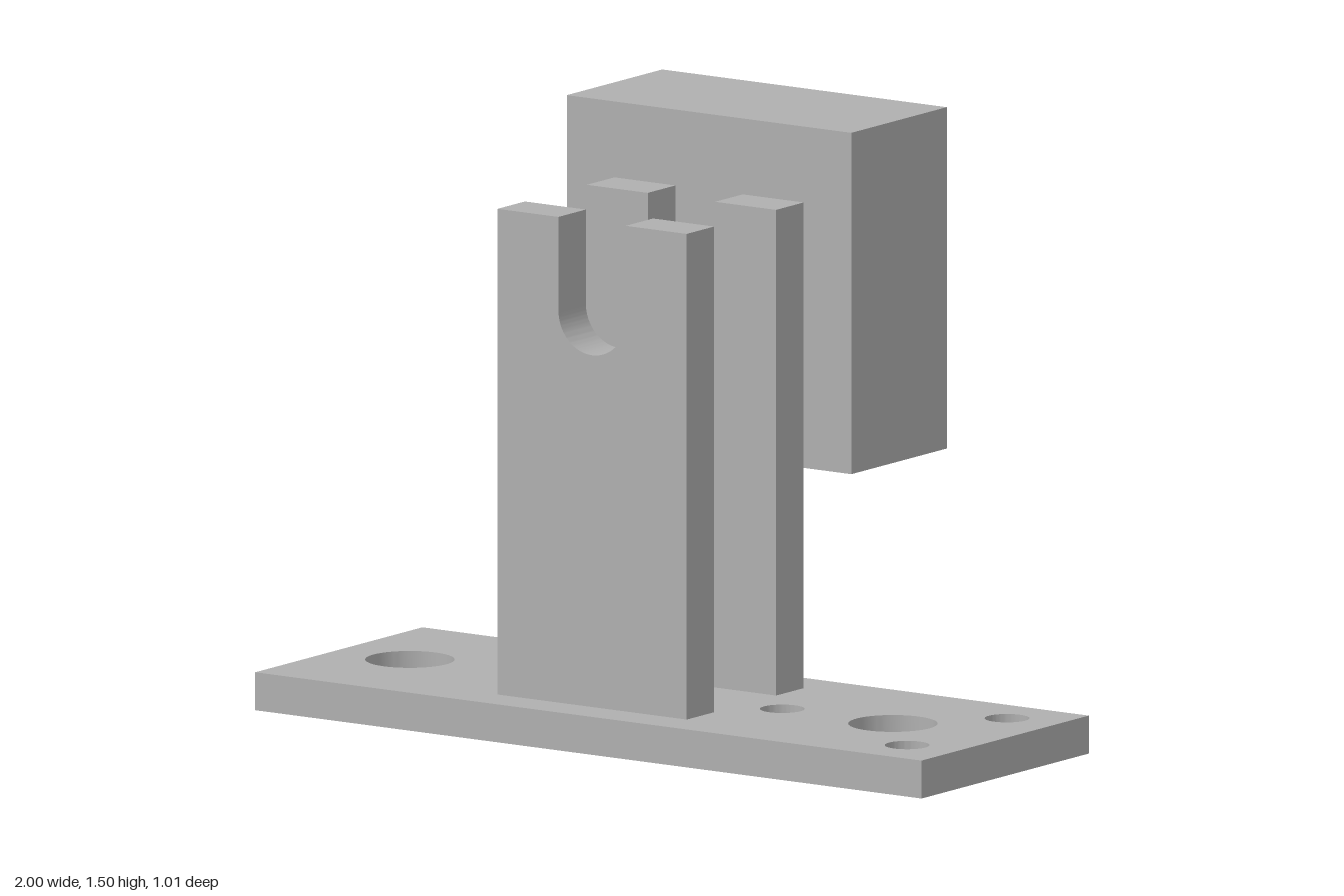
import * as THREE from 'three';
import { toCreasedNormals } from 'three/addons/utils/BufferGeometryUtils.js';

const grey = new THREE.MeshStandardMaterial({ color: 0xb0b0b0 });
grey.name = 'plain grey';

// Rectangle with round holes given as [x, y, radius]
function holedRect(x0, x1, y0, y1, holes = []) {
  const s = new THREE.Shape();
  s.moveTo(x0, y0).lineTo(x1, y0).lineTo(x1, y1).lineTo(x0, y1).closePath();
  for (const [x, y, r] of holes) s.holes.push(new THREE.Path().absarc(x, y, r, 0, Math.PI * 2, true));
  return s;
}

function extrude(shape, depth) {
  const g = new THREE.ExtrudeGeometry(shape, { depth, bevelEnabled: false, curveSegments: 32 });
  return toCreasedNormals(g, 0.6);
}

function add(group, name, geometry) {
  const mesh = new THREE.Mesh(geometry, grey);
  mesh.name = name;
  group.add(mesh);
}

// Upright slab: outline in x,y running from z0 to z1
const slab = (shape, z0, z1) => extrude(shape, z1 - z0).translate(0, 0, z0);
// Level plate: outline in x,-z running from y0 to y1
const level = (shape, y0, y1) => extrude(shape, y1 - y0).rotateX(-Math.PI / 2).translate(0, y0, 0);

export function createModel() {
  const model = new THREE.Group();
  model.name = 'motorBracket';
  const cx = -0.0625; // shared centre line of uprights and housing

  // Base plate with two large and three small through holes
  add(model, 'basePlate', level(holedRect(-1, 1, -0.505, 0.21, [
    [-0.785, -0.15, 0.11], [0.665, -0.15, 0.11],
    [0.333, -0.15, 0.055], [0.855, 0.067, 0.055], [0.855, -0.36, 0.055],
  ]), 0, 0.095));

  // Two slotted uprights
  const r = 0.101, half = 0.284, top = 1.31, slotY = 1.076;
  const upright = new THREE.Shape();
  upright.moveTo(cx - half, 0.095).lineTo(cx + half, 0.095).lineTo(cx + half, top);
  upright.lineTo(cx + r, top).lineTo(cx + r, slotY);
  upright.absarc(cx, slotY, r, 0, -Math.PI, true);
  upright.lineTo(cx - r, top).lineTo(cx - half, top).closePath();
  add(model, 'frontUpright', slab(upright, 0.283, 0.4));
  add(model, 'rearUpright', slab(upright, -0.1, 0.018));

  // Square housing, open at the back
  const housing = new THREE.Group();
  housing.name = 'housing';
  model.add(housing);
  const h = 0.427, inner = 0.312, y0 = 0.646, y1 = 1.5, wall = h - inner;
  const back = -0.508, face = -0.13, boreEnd = -0.26;
  add(housing, 'housingFrontWall', slab(holedRect(cx - h, cx + h, y0, y1), face, -0.1));

  // Side walls, with blind screw holes in the back corners
  for (const [side, name] of [[-1, 'right'], [1, 'left']]) {
    const a = cx + side * inner, b = cx + side * h;
    const [x0, x1] = [Math.min(a, b), Math.max(a, b)];
    const hx = cx + side * (h - 0.058);
    const screws = [y0 + 0.058, y1 - 0.058].map((y) => [hx, y, 0.033]);
    add(housing, name + 'WallDrilled', slab(holedRect(x0, x1, y0, y1, screws), back, boreEnd));
    add(housing, name + 'WallSolid', slab(holedRect(x0, x1, y0, y1), boreEnd, face));
  }

  // Roof, and floor with a round cable opening
  add(housing, 'housingRoof', level(holedRect(cx - inner, cx + inner, -face, -back), y1 - wall, y1));
  add(housing, 'housingFloor', level(
    holedRect(cx - inner, cx + inner, -face, -back, [[cx, 0.34, 0.154]]), y0, y0 + wall));

  return model;
}
